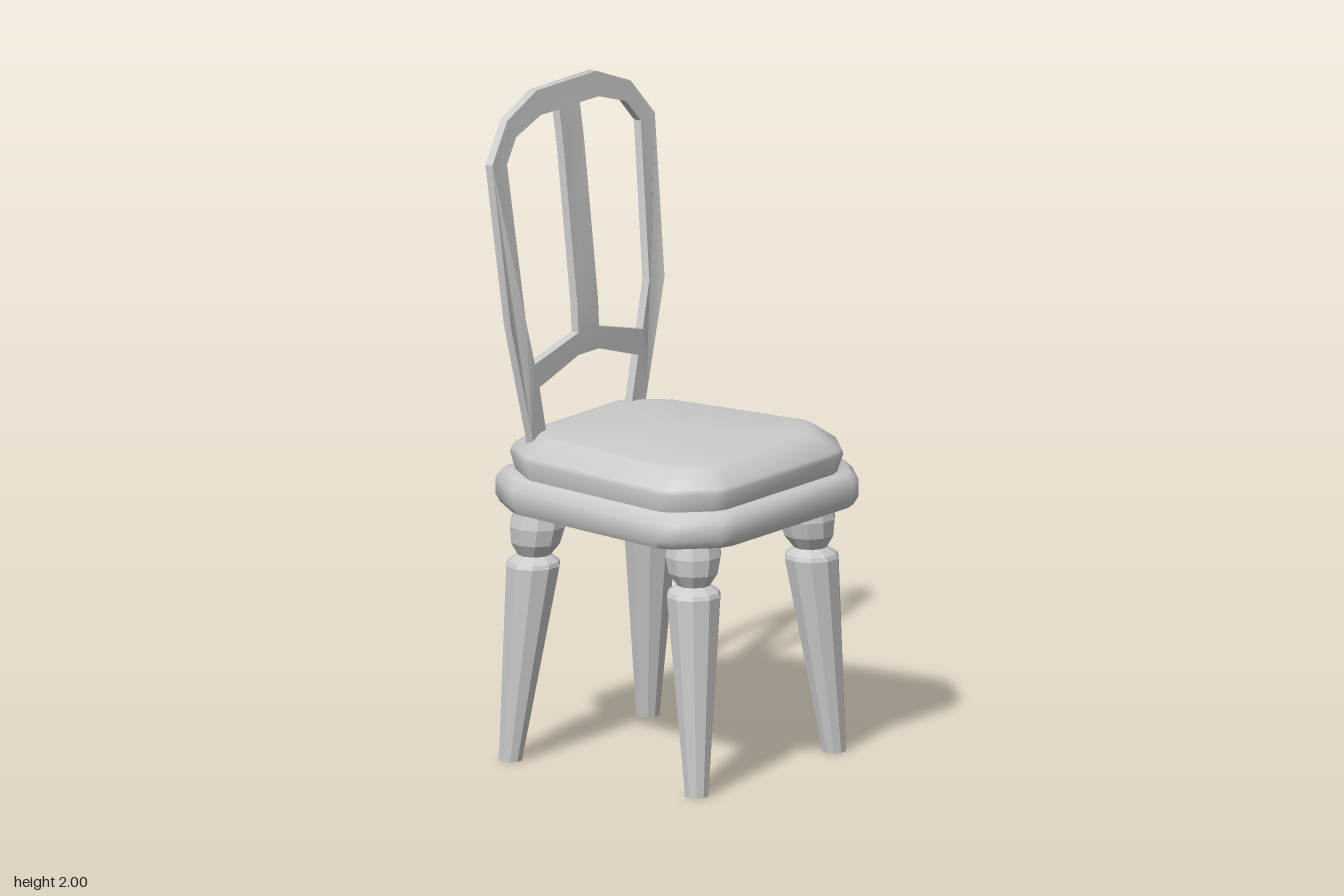
import * as THREE from 'three';
import { toCreasedNormals } from 'three/addons/utils/BufferGeometryUtils.js';

const smoothMat = new THREE.MeshStandardMaterial({ color: 0xcccccc });
const facetMat = new THREE.MeshStandardMaterial({ color: 0xcccccc, flatShading: true });

function addMesh(parent, name, geometry, material = smoothMat) {
  const mesh = new THREE.Mesh(geometry, material);
  mesh.name = name;
  parent.add(mesh);
  return mesh;
}

// Seat plan, wide at +x: one half, then mirrored across z
const halfPlan = [
  [0.455, 0.29], [0.44, 0.335], [0.335, 0.44], [0.29, 0.455],
  [-0.3, 0.39], [-0.335, 0.37], [-0.435, 0.295], [-0.455, 0.255],
];
const plan = [...halfPlan, ...halfPlan.map(([x, z]) => [x, -z]).reverse()];

// Stacks scaled copies of the plan; profile entries are [height, scale]
function loftPlan(profile, crease) {
  const n = plan.length, positions = [], indices = [];
  for (const [y, s] of profile) for (const [x, z] of plan) positions.push(x * s, y, z * s);
  for (let k = 0; k < profile.length - 1; k++) {
    for (let i = 0; i < n; i++) {
      const a = k * n + i, b = k * n + (i + 1) % n;
      indices.push(a, a + n, b, b, a + n, b + n);
    }
  }
  const geometry = new THREE.BufferGeometry();
  geometry.setAttribute('position', new THREE.Float32BufferAttribute(positions, 3));
  geometry.setIndex(indices);
  return toCreasedNormals(geometry, crease);
}

// Turned leg, splayed outwards by shearing towards its corner
function legGeometry(sx, sz) {
  const profile = [
    [0, 0], [0.036, 0], [0.083, 0.595], [0.078, 0.608], [0.05, 0.627],
    [0.076, 0.665], [0.086, 0.715], [0.078, 0.77], [0, 0.77],
  ].map(([r, y]) => new THREE.Vector2(r, y));
  const geometry = new THREE.LatheGeometry(profile, 10);
  const p = geometry.attributes.position;
  for (let i = 0; i < p.count; i++) {
    const y = p.getY(i);
    p.setX(i, p.getX(i) + 0.005 + sx * (0.347 - 0.08 * y));
    p.setZ(i, p.getZ(i) + 0.006 + sz * (0.334 - 0.08 * y));
  }
  return geometry;
}

// Backward lean of the backrest at a given height
function backX(y) {
  const curve = [[0.9, -0.313], [1.3, -0.314], [1.82, -0.37], [2, -0.397]];
  for (let i = 1; i < curve.length; i++) {
    const [y0, x0] = curve[i - 1], [y1, x1] = curve[i];
    if (y <= y1) return x0 + (x1 - x0) * (y - y0) / (y1 - y0);
  }
  return curve[3][1];
}

// Arched frame with a central slat and a bowed cross rail
function backGeometry() {
  const toVectors = (points) => points.map(([u, v]) => new THREE.Vector2(u, v));
  const mirror = (points) => points.map(([u, v]) => [-u, v]).reverse();
  const outer = [
    [0.268, 0.95], [0.278, 0.99], [0.373, 1.335], [0.395, 1.825], [0.3, 1.94], [0.145, 2],
  ];
  const under = [[0.05, 1.185], [0.24, 1.125], [0.2, 0.95]];
  const shape = new THREE.Shape(toVectors([...outer, ...mirror(outer), ...mirror(under), ...under]));
  const opening = [
    [0.05, 1.253], [0.262, 1.2], [0.3, 1.34], [0.325, 1.815], [0.267, 1.885],
    [0.14, 1.925], [0.05, 1.925], [0.05, 1.82], [0.05, 1.34],
  ];
  shape.holes.push(new THREE.Path(toVectors(opening)), new THREE.Path(toVectors(mirror(opening))));

  const thickness = 0.026;
  const geometry = new THREE.ExtrudeGeometry(shape, { depth: thickness, bevelEnabled: false });
  geometry.translate(0, 0, -thickness / 2).rotateY(-Math.PI / 2);
  const p = geometry.attributes.position;
  for (let i = 0; i < p.count; i++) {
    p.setX(i, p.getX(i) + backX(p.getY(i)));
    p.setZ(i, p.getZ(i) + 0.013);
  }
  return toCreasedNormals(geometry, 0.6);
}

export function createModel() {
  const chair = new THREE.Group();
  chair.name = 'chair';

  addMesh(chair, 'seatBase', loftPlan(
    [[0.765, 0], [0.765, 0.97], [0.79, 0.997], [0.84, 0.997], [0.865, 0.95], [0.865, 0]], 1.1));
  addMesh(chair, 'seatCushion', loftPlan(
    [[0.86, 0.88], [0.92, 0.915], [0.935, 0.905], [0.985, 0.77], [0.99, 0.72], [0.99, 0]], 0.9));
  addMesh(chair, 'backrest', backGeometry());

  const legs = new THREE.Group();
  legs.name = 'legs';
  chair.add(legs);
  for (const sx of [1, -1]) {
    for (const sz of [1, -1]) {
      const name = (sx > 0 ? 'front' : 'rear') + (sz > 0 ? 'Right' : 'Left') + 'Leg';
      addMesh(legs, name, legGeometry(sx, sz), facetMat);
    }
  }
  return chair;
}
